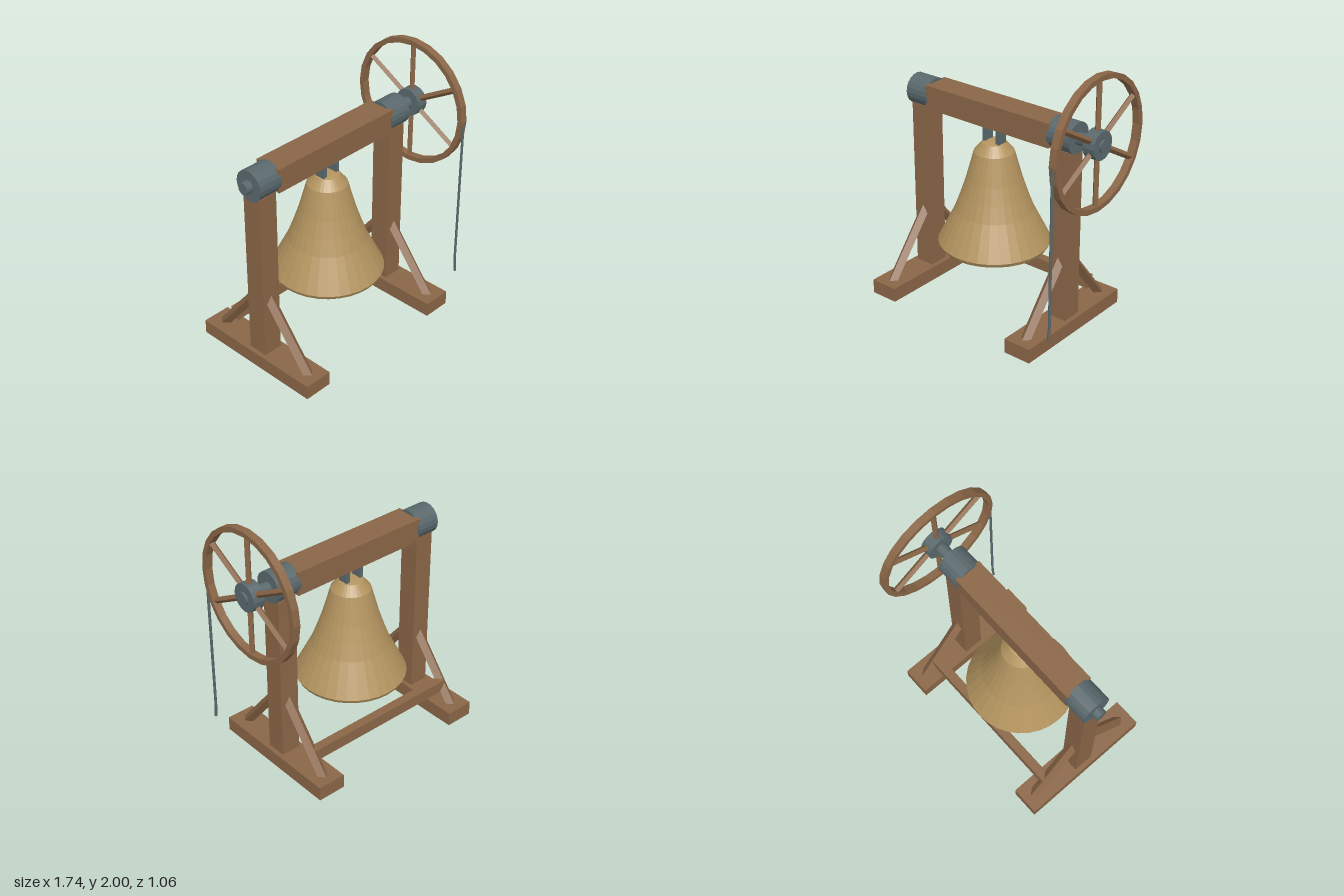
import * as THREE from 'three';

export function createModel() {
  const model = new THREE.Group();
  model.name = 'bellFrame';
  const material = (name, color) => new THREE.MeshStandardMaterial({ name, color, flatShading: true });
  const wood = material('wood', 0x8a6647);
  const bronze = material('bronze', 0xb3945f);
  const iron = material('iron', 0x59686c);

  const add = (name, geometry, mat, x = 0, y = 0, z = 0, parent = model) => {
    const mesh = new THREE.Mesh(geometry, mat);
    mesh.name = name;
    mesh.position.set(x, y, z);
    parent.add(mesh);
    return mesh;
  };
  const box = (name, mat, w, h, d, x, y, z) => add(name, new THREE.BoxGeometry(w, h, d), mat, x, y, z);
  const lathe = (points, sides) =>
    new THREE.LatheGeometry(points.map(([r, y]) => new THREE.Vector2(r, y)), sides);
  // cylinder lying along x between two ends
  const drum = (name, r, x0, x1, sides) => add(name,
    new THREE.CylinderGeometry(r, r, x1 - x0, sides).rotateZ(-Math.PI / 2), iron, (x0 + x1) / 2, axleY, 0);

  const midX = -0.085, axleY = 1.51, postOffset = 0.64;

  // Two side frames: foot, post, front and back brace, bearing
  for (const side of [-1, 1]) {
    const x = midX + side * postOffset;
    box('foot', wood, 0.22, 0.11, 1.06, x, 0.055, 0);
    box('post', wood, 0.15, 1.32, 0.155, x, 0.76, 0);
    for (const front of [-1, 1]) {
      // square bar set on edge, leaning against the post
      const low = new THREE.Vector3(x, 0.08, front * 0.446);
      const high = new THREE.Vector3(x, 0.577, front * 0.05);
      const bar = new THREE.CylinderGeometry(0.042, 0.042, low.distanceTo(high), 4);
      bar.scale(1, 1, 0.9).rotateX(Math.atan2(high.z - low.z, high.y - low.y));
      const mid = low.clone().add(high).multiplyScalar(0.5);
      add('brace', bar, wood, mid.x, mid.y, mid.z);
    }
    drum('bearing', 0.115, x - 0.095, x + 0.095, 20);
  }

  // Cross pieces
  box('rearRail', wood, 1.28, 0.09, 0.07, midX, 0.23, -0.322);
  box('headBeam', wood, 1.12, 0.18, 0.21, midX, axleY, 0);
  drum('axle', 0.045, -0.87, 0.865, 16);

  // Bell: inner wall down, lip, outer wall up
  add('bell', lathe([
    [0, 1.25], [0.08, 1.23], [0.12, 1.18], [0.18, 0.97], [0.255, 0.75], [0.32, 0.62], [0.365, 0.53], [0.365, 0.48],
    [0.4, 0.48], [0.415, 0.51], [0.365, 0.61], [0.29, 0.76], [0.245, 0.88], [0.205, 1.0],
    [0.147, 1.21], [0.09, 1.28], [0.04, 1.292], [0, 1.295],
  ], 32), bronze, midX);
  for (const side of [-1, 1]) box('hangerStrap', iron, 0.032, 0.17, 0.08, midX + side * 0.06, 1.345, 0);

  // Clapper
  add('clapperRod', new THREE.CylinderGeometry(0.015, 0.015, 0.74, 8), iron, midX, 0.88, 0);
  add('clapperBall', new THREE.SphereGeometry(0.055, 12, 8), iron, midX, 0.51, 0);

  // Rope wheel
  const wheel = new THREE.Group();
  wheel.name = 'ropeWheel';
  wheel.position.set(0.803, axleY, 0);
  model.add(wheel);
  const rim = lathe([[0.452, -0.028], [0.49, -0.028], [0.49, 0.028], [0.452, 0.028], [0.452, -0.028]], 24);
  add('wheelRim', rim.rotateZ(-Math.PI / 2), wood, 0, 0, 0, wheel);
  for (let i = 0; i < 6; i++) {
    const spoke = new THREE.CylinderGeometry(0.023, 0.023, 0.39, 4);
    spoke.translate(0, 0.27, 0).rotateX(i * Math.PI / 3);
    add('spoke', spoke, wood, 0, 0, 0, wheel);
  }
  drum('wheelHub', 0.105, 0.757, 0.847, 16);

  // Rope hanging from the front of the wheel
  const ropePath = new THREE.CurvePath();
  const points = [[1.51, 0.486], [0.32, 0.486], [0.22, 0.495]].map(([y, z]) => new THREE.Vector3(0.802, y, z));
  ropePath.add(new THREE.LineCurve3(points[0], points[1]));
  ropePath.add(new THREE.LineCurve3(points[1], points[2]));
  add('rope', new THREE.TubeGeometry(ropePath, 14, 0.01, 6), iron);

  return model;
}
